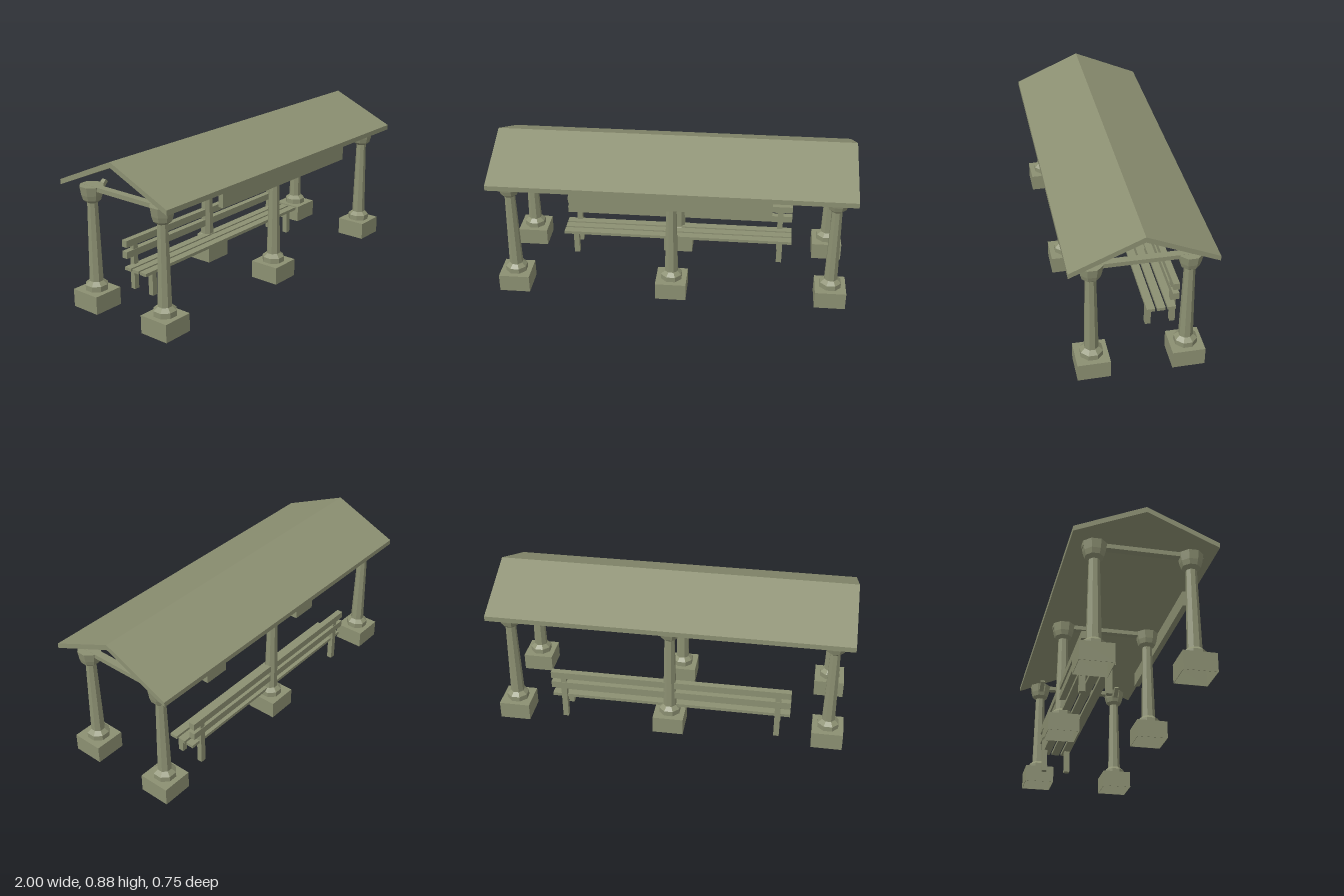
import * as THREE from 'three';

const olive = new THREE.MeshStandardMaterial({ color: 0x8c9072 });
olive.name = 'oliveGrey';
olive.flatShading = true;

function add(parent, name, geometry, x = 0, y = 0, z = 0) {
  const mesh = new THREE.Mesh(geometry, olive);
  mesh.name = name;
  mesh.position.set(x, y, z);
  parent.add(mesh);
  return mesh;
}

// Box given by its limits on each axis
function box(parent, name, x0, x1, y0, y1, z0, z1) {
  return add(parent, name, new THREE.BoxGeometry(x1 - x0, y1 - y0, z1 - z0),
    (x0 + x1) / 2, (y0 + y1) / 2, (z0 + z1) / 2);
}

// Hollow footing, open underneath, with a one-sided lid
function footing(parent) {
  const h = 0.087, i = 0.085;
  const square = s => [[-s, -s], [s, -s], [s, s], [-s, s]].map(p => new THREE.Vector2(...p));
  const shape = new THREE.Shape(square(h));
  shape.holes.push(new THREE.Path(square(i).reverse()));
  const walls = new THREE.ExtrudeGeometry(shape, { depth: 0.1, bevelEnabled: false });
  add(parent, 'footingWalls', walls.rotateX(-Math.PI / 2));
  add(parent, 'footingTop', new THREE.PlaneGeometry(2 * h, 2 * h).rotateX(-Math.PI / 2), 0, 0.1, 0);
}

// Eight-sided column: plinth, tapered shaft and flared capital
function column(x, z) {
  const group = new THREE.Group();
  group.name = 'column';
  const profile = [
    [0.058, 0.1], [0.058, 0.13], [0.036, 0.15], [0.027, 0.59],
    [0.046, 0.607], [0.054, 0.635], [0.061, 0.683], [0, 0.683],
  ].map(([flat, y]) => new THREE.Vector2(flat / Math.cos(Math.PI / 8), y));
  footing(group);
  add(group, 'columnShaft', new THREE.LatheGeometry(profile, 8, Math.PI / 8));

  // Diagonal brace rising along the roof
  const side = x > 0 ? -1 : 1;
  const brace = add(group, 'brace', new THREE.BoxGeometry(0.12, 0.02, 0.027), side * 0.052, 0.643, 0);
  brace.rotation.z = side * Math.PI / 4;
  group.position.set(x, 0, z);
  return group;
}

function bench() {
  const group = new THREE.Group();
  group.name = 'bench';
  const half = 0.686;
  for (const z of [-0.116, -0.174, -0.232]) {
    box(group, 'seatBoard', -half, half, 0.132, 0.15, z - 0.023, z + 0.023);
  }
  for (const y of [0.2, 0.265]) {
    box(group, 'backSlat', -half, half, y, y + 0.04, -0.27, -0.235);
  }
  for (const x of [-0.615, 0.615]) {
    box(group, 'frontLeg', x - 0.016, x + 0.016, 0, 0.133, -0.13, -0.098);
    box(group, 'backPost', x - 0.016, x + 0.016, 0, 0.303, -0.267, -0.237);
  }
  return group;
}

export function createModel() {
  const model = new THREE.Group();
  model.name = 'shelter';

  // Gabled roof slab, extruded along x
  const roof = new THREE.Shape([
    [-0.375, 0.685], [0, 0.847], [0.375, 0.685], [0.375, 0.713], [0, 0.877], [-0.375, 0.713],
  ].map(p => new THREE.Vector2(...p)));
  const roofGeometry = new THREE.ExtrudeGeometry(roof, { depth: 2, bevelEnabled: false });
  roofGeometry.translate(0, 0, -1).rotateY(Math.PI / 2);
  add(model, 'roof', roofGeometry);

  // Three column pairs, each joined by a cross beam
  for (const x of [-0.9, 0, 0.9]) {
    for (const z of [-0.25, 0.25]) model.add(column(x, z));
    box(model, 'crossBeam', x - 0.02, x + 0.02, 0.66, 0.684, -0.311, 0.311);
  }

  // Blank board hung below the front eave
  box(model, 'frontBoard', -0.55, 0.55, 0.59, 0.677, 0.309, 0.341);

  model.add(bench());
  return model;
}
